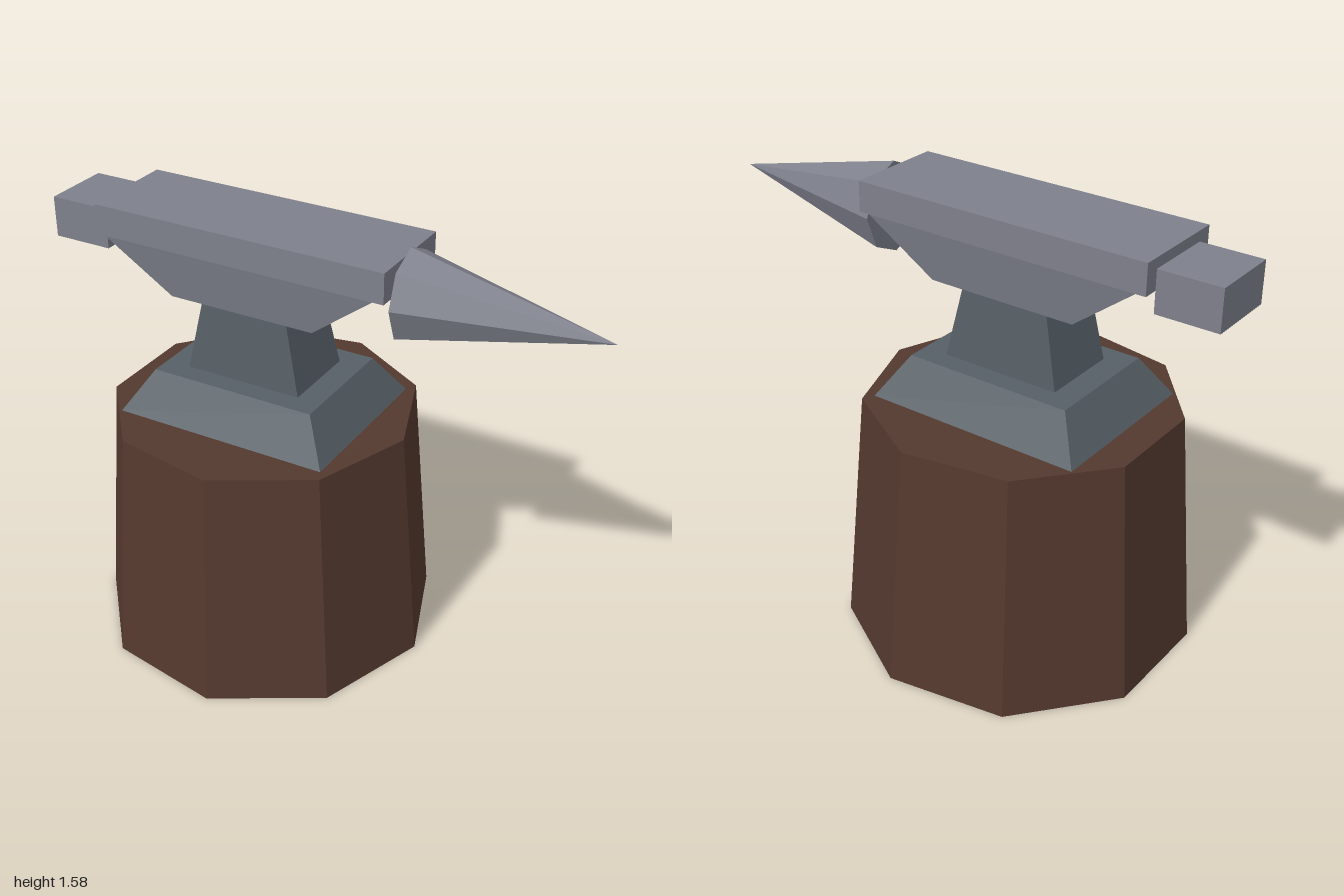
import * as THREE from 'three';

const paint = (name, color) => {
  const m = new THREE.MeshStandardMaterial({ color });
  m.name = name;
  return m;
};

// Box whose upper and lower rectangles differ: each is { x0, x1, z, y }, z being the half depth
function taperedBlock(low, high) {
  const g = new THREE.BoxGeometry(1, 1, 1);
  const p = g.attributes.position;
  for (let i = 0; i < p.count; i++) {
    const r = p.getY(i) > 0 ? high : low;
    p.setXYZ(i, p.getX(i) > 0 ? r.x1 : r.x0, r.y, Math.sign(p.getZ(i)) * r.z);
  }
  g.computeVertexNormals();
  return g;
}

export function createModel() {
  const model = new THREE.Group();
  model.name = 'anvilOnStump';
  const wood = paint('dark brown wood', 0x54392f);
  const steel = paint('light steel', 0x7e808c);
  const iron = paint('dark iron', 0x576067);
  for (const m of [wood, steel, iron]) m.flatShading = true;

  const add = (name, geometry, material, parent = model) => {
    const mesh = new THREE.Mesh(geometry, material);
    mesh.name = name;
    parent.add(mesh);
    return mesh;
  };

  // Nine-sided stump with one corner towards +x
  const stump = add('stump', new THREE.CylinderGeometry(0.546, 0.619, 0.875, 9, 1, false, Math.PI / 2), wood);
  stump.position.set(-0.238, 0.4375, 0);

  // Spreading foot and narrow waist
  add('foot', taperedBlock(
    { x0: -0.635, x1: 0.16, z: 0.31, y: 0.875 },
    { x0: -0.545, x1: 0.07, z: 0.22, y: 1.02 }), iron);
  add('waist', taperedBlock(
    { x0: -0.455, x1: -0.02, z: 0.145, y: 1.02 },
    { x0: -0.4, x1: -0.075, z: 0.125, y: 1.28 }), iron);

  // Working body: flat face slab over a tapering underside
  const body = new THREE.Group();
  body.name = 'body';
  model.add(body);
  add('underside', taperedBlock(
    { x0: -0.51, x1: 0.035, z: 0.145, y: 1.277 },
    { x0: -0.745, x1: 0.27, z: 0.18, y: 1.46 }), steel, body);
  add('faceSlab', taperedBlock(
    { x0: -0.78, x1: 0.31, z: 0.18, y: 1.46 },
    { x0: -0.78, x1: 0.31, z: 0.18, y: 1.567 }), steel, body);

  // Square heel at the -x end
  add('heel', taperedBlock(
    { x0: -1, x1: -0.78, z: 0.126, y: 1.385 },
    { x0: -1, x1: -0.78, z: 0.126, y: 1.53 }), steel);

  // Eight-sided horn pointing to +x, slightly narrower than tall
  const hornShape = new THREE.ConeGeometry(0.162, 0.69, 8);
  hornShape.rotateZ(-Math.PI / 2);
  hornShape.scale(1, 1, 0.9);
  add('horn', hornShape, steel).position.set(0.655, 1.422, 0);

  return model;
}
